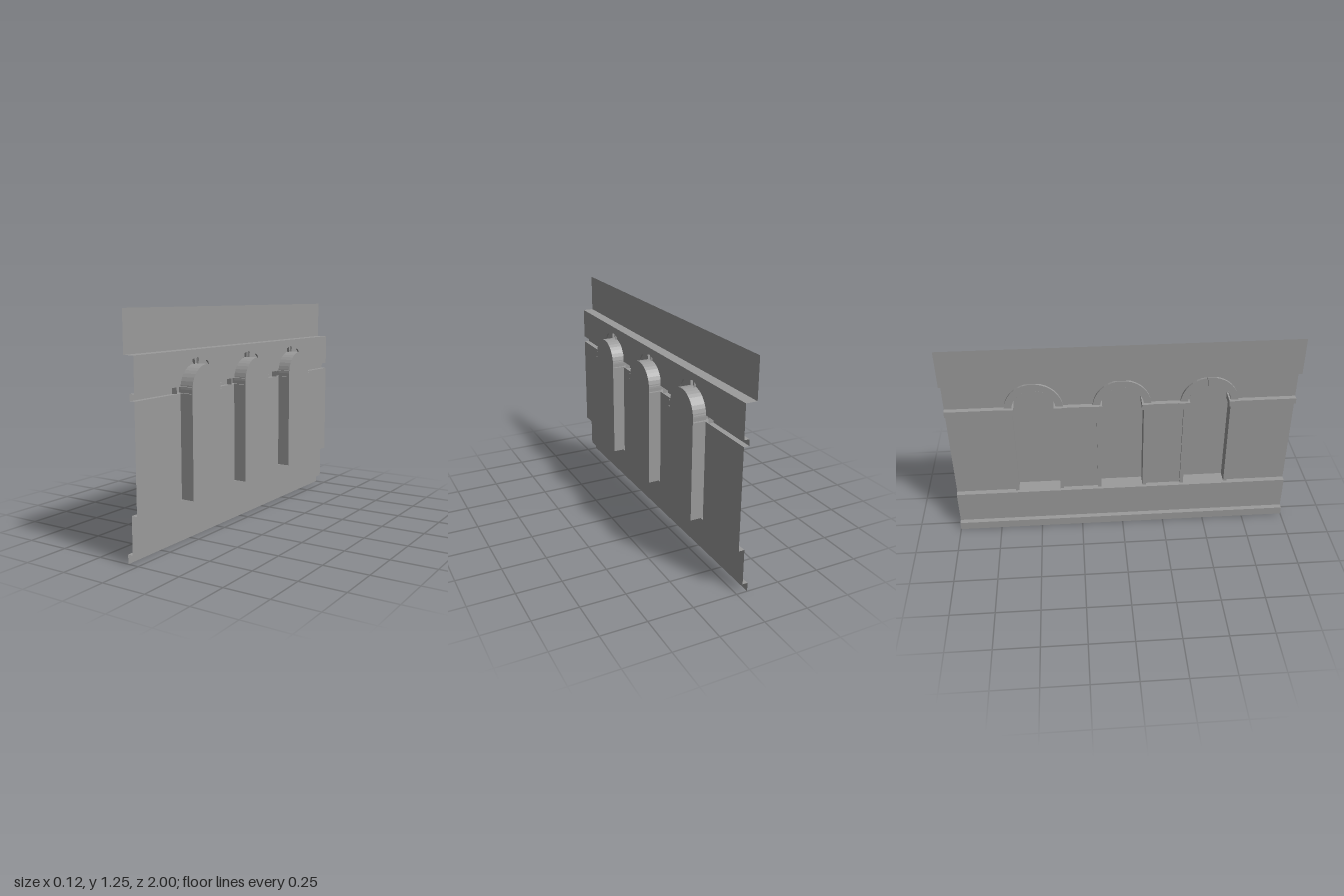
import * as THREE from 'three';

const material = new THREE.MeshStandardMaterial({
  color: 0x9b9b9b, flatShading: true, side: THREE.DoubleSide,
});

// Depths along x: the wall face is at 0 and its mouldings project towards -x
const BACK = 0.0625, JAMB = -0.014, BAND = -0.033, STRING = -0.03, CORNICE = -0.0625;
const FLOOR = 0.25, IMPOST0 = 0.812, IMPOST1 = 0.847, SPRING = 0.831, TOP = 1.03;
const R = 0.125, JAMB_OUT = 0.146, RING_OUT = 0.167, IMPOST_OUT = 0.174;
const CENTRES = [-0.5, 0, 0.5];

function add(group, geometry, name) {
  const mesh = new THREE.Mesh(geometry, material);
  mesh.name = name;
  group.add(mesh);
}

const toShape = points => new THREE.Shape(points.map(([a, b]) => new THREE.Vector2(a, b)));

// Flat face in the z-y plane at depth x, looking towards -x
function flat(points, x) {
  return new THREE.ShapeGeometry(toShape(points)).rotateY(-Math.PI / 2).translate(x, 0, 0);
}

// Level face from x-z points at height y
function level(points, y) {
  return new THREE.ShapeGeometry(toShape(points)).rotateX(Math.PI / 2).translate(0, y, 0);
}

const rect = (z0, z1, y0, y1) => [[z0, y0], [z1, y0], [z1, y1], [z0, y1]];

// Strip that sweeps a path from one place to another; at(p, end) gives its corners
function sweep(path, at) {
  const pos = [], index = [];
  path.forEach((p, i) => {
    pos.push(...at(p, 0), ...at(p, 1));
    if (i) index.push(2 * i - 2, 2 * i - 1, 2 * i, 2 * i, 2 * i - 1, 2 * i + 1);
  });
  const g = new THREE.BufferGeometry();
  g.setAttribute('position', new THREE.Float32BufferAttribute(pos, 3));
  g.setIndex(index);
  g.computeVertexNormals();
  return g;
}

// z-y path swept in depth, x-y profile swept along the wall, x-z plan swept upwards
const ribbon = (path, x0, x1) => sweep(path, ([z, y], e) => [e ? x1 : x0, y, z]);
const moulding = (path, z0, z1) => sweep(path, ([x, y], e) => [x, y, e ? z1 : z0]);
const upright = (path, y0, y1) => sweep(path, ([x, z], e) => [x, e ? y1 : y0, z]);

// Points of a round arch from +z over the top to -z, starting at height y0
function arch(r, y0 = SPRING, n = 18) {
  const a0 = Math.asin((y0 - SPRING) / r);
  return Array.from({ length: n + 1 }, (_, i) => {
    const a = a0 + (Math.PI - 2 * a0) * i / n;
    return [r * Math.cos(a), SPRING + r * Math.sin(a)];
  });
}

function createNiche() {
  const niche = new THREE.Group();
  niche.name = 'niche';
  const outline = [[R, FLOOR], ...arch(R), [-R, FLOOR]];
  add(niche, flat(outline, BACK), 'nicheBack');
  add(niche, ribbon(outline, JAMB, BACK), 'nicheReveal');
  add(niche, ribbon([[-R, FLOOR], [R, FLOOR]], BAND, BACK), 'nicheFloor');

  // Raised ring around the arch
  const outer = arch(RING_OUT, IMPOST1);
  add(niche, flat([...outer, ...arch(R, IMPOST1).reverse()], JAMB), 'archRing');
  add(niche, ribbon(outer, JAMB, 0), 'archRingEdge');

  // Wedge-shaped keystone, open at the back
  const key = [[-0.015, 0.948], [0.015, 0.948], [0.022, 1.008], [-0.022, 1.008]];
  add(niche, flat(key, BAND), 'keystoneFace');
  add(niche, ribbon([...key, key[0]], BAND, 0), 'keystoneSides');

  for (const s of [-1, 1]) {
    // Jambs
    add(niche, flat(rect(s * R, s * JAMB_OUT, FLOOR, IMPOST0), JAMB), 'jambFace');
    add(niche, ribbon([[s * JAMB_OUT, FLOOR], [s * JAMB_OUT, IMPOST0]], JAMB, 0), 'jambEdge');

    // Imposts that run into the niche, with shelves bedded in the masonry behind
    const front = [[BACK, s * 0.113], [BAND, s * 0.113], [BAND, s * IMPOST_OUT], [0, s * IMPOST_OUT]];
    const plan = [...front, [0, s * 0.14], [BACK, s * 0.14]];
    add(niche, upright(front, IMPOST0, IMPOST1), 'impostFace');
    add(niche, level(plan, IMPOST0), 'impostUnderside');
    add(niche, level(plan, IMPOST1), 'impostTop');
  }
  return niche;
}

export function createModel() {
  const model = new THREE.Group();
  model.name = 'nicheWall';

  // Stepped plinth and tall top panel
  add(model, moulding([[CORNICE, 0], [CORNICE, 0.05], [BAND, 0.05], [BAND, FLOOR], [0, FLOOR]], -1, 1), 'plinth');
  add(model, moulding([[0, TOP], [CORNICE, TOP], [CORNICE, 1.25]], -1, 1), 'topPanel');

  // Wall and string course between the niches
  const spans = half => {
    const e = [-1, ...CENTRES.flatMap(c => [c - half, c + half]), 1];
    return [0, 2, 4, 6].map(i => [e[i], e[i + 1]]);
  };
  for (const [z0, z1] of spans(JAMB_OUT)) add(model, flat(rect(z0, z1, FLOOR, IMPOST0), 0), 'wallPanel');
  const course = [[0, IMPOST0], [STRING, IMPOST0], [STRING, IMPOST1], [0, IMPOST1]];
  for (const [z0, z1] of spans(IMPOST_OUT)) add(model, moulding(course, z0, z1), 'stringCourse');

  // Upper wall, notched with a faceted opening behind each arch ring
  const notch = [[-JAMB_OUT, IMPOST1], [-0.145, 0.887], [-0.1, 0.963], [0, 0.99],
    [0.1, 0.963], [0.145, 0.887], [JAMB_OUT, IMPOST1]];
  const upper = [[-1, IMPOST1]];
  for (const c of CENTRES) upper.push(...notch.map(([z, y]) => [z + c, y]));
  upper.push([1, IMPOST1], [1, TOP], [-1, TOP]);
  add(model, flat(upper, 0), 'upperWall');

  for (const c of CENTRES) {
    const niche = createNiche();
    niche.position.z = c;
    model.add(niche);
  }
  return model;
}
